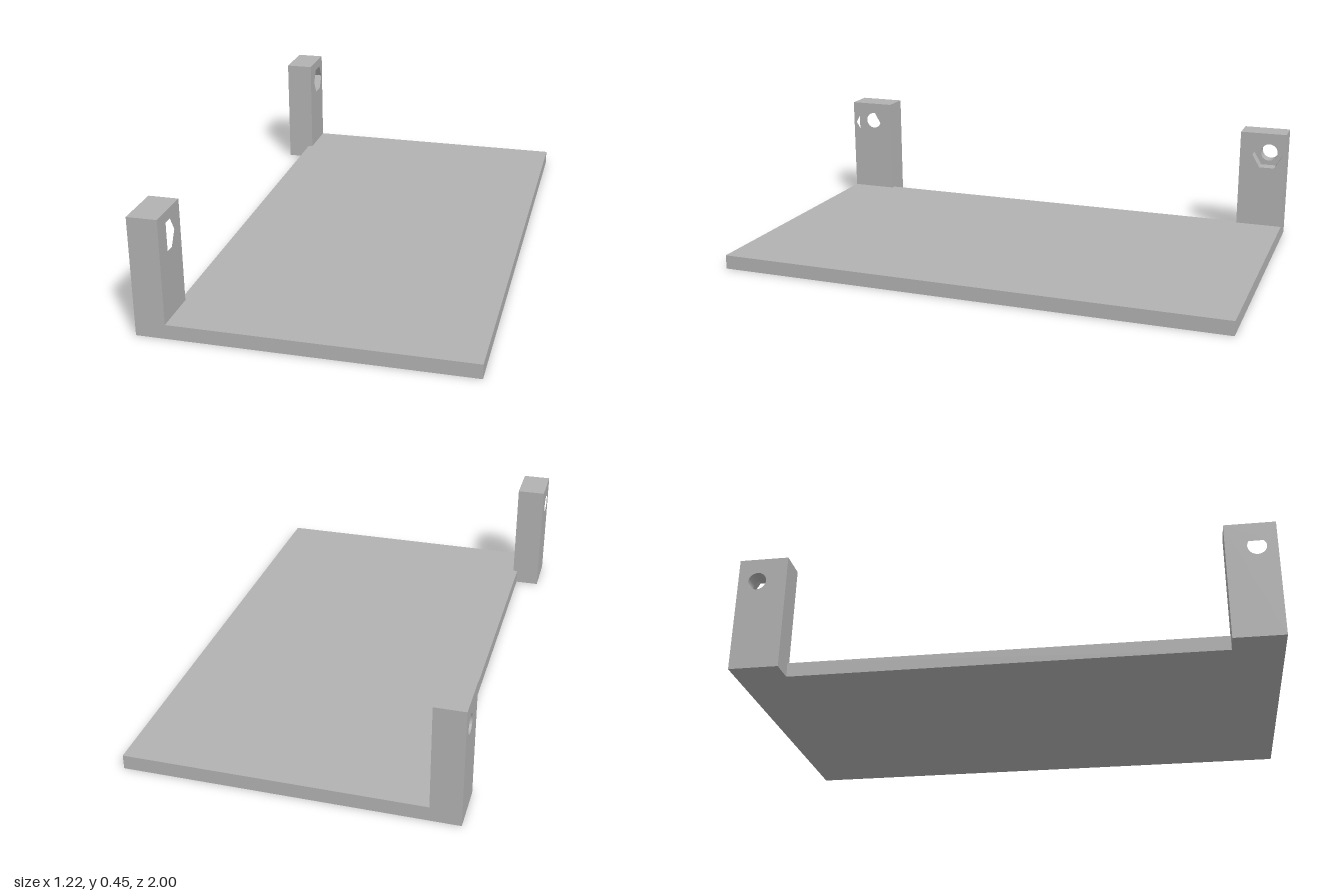
import * as THREE from 'three';

const X = 0.612, POST_X = -0.5, PLATE_X = -0.518; // outer end, post front face, plate rear edge
const POST_Z = 0.812, POST_H = 0.453, PLATE_H = 0.055;
const HOLE_Z = 0.926, HOLE_Y = 0.36, NUT_DEPTH = 0.055;

const polygon = (points) => points.map(([x, y]) => new THREE.Vector2(x, y));

// Upright slab with one hole, running from x0 to x1
function postLayer(side, hole, x0, x1) {
  const a = side * POST_Z, b = side;
  const shape = new THREE.Shape(polygon([[a, 0], [b, 0], [b, POST_H], [a, POST_H]]));
  shape.holes.push(hole);
  const geometry = new THREE.ExtrudeGeometry(shape, { depth: x1 - x0, bevelEnabled: false, curveSegments: 32 });
  return geometry.rotateY(Math.PI / 2).translate(x0, 0, 0);
}

export function createModel() {
  const model = new THREE.Group();
  model.name = 'bracket';
  const grey = new THREE.MeshStandardMaterial({ color: 0xb2b2b2 });
  grey.name = 'grey';

  const add = (parent, name, geometry) => {
    const mesh = new THREE.Mesh(geometry, grey);
    mesh.name = name;
    parent.add(mesh);
  };

  // Base plate, notched around the two posts
  const outline = new THREE.Shape(polygon([
    [X, -1], [X, 1], [POST_X, 1], [POST_X, POST_Z], [PLATE_X, POST_Z],
    [PLATE_X, -POST_Z], [POST_X, -POST_Z], [POST_X, -1],
  ]));
  const plate = new THREE.ExtrudeGeometry(outline, { depth: PLATE_H, bevelEnabled: false });
  add(model, 'basePlate', plate.rotateX(-Math.PI / 2));

  // Corner posts: round bolt hole behind, hexagonal nut pocket in front
  for (const side of [-1, 1]) {
    const post = new THREE.Group();
    post.name = side < 0 ? 'frontPost' : 'backPost';
    const u = side * HOLE_Z;

    const bolt = new THREE.Path().absarc(u, HOLE_Y, 0.035, 0, Math.PI * 2, true);
    const hexagon = Array.from({ length: 6 }, (_, i) => {
      const t = -i * Math.PI / 3;
      return [u + 0.062 * Math.cos(t), HOLE_Y + 0.062 * Math.sin(t)];
    });
    add(post, 'boltHoleLayer', postLayer(side, bolt, -X, POST_X - NUT_DEPTH));
    add(post, 'nutPocketLayer', postLayer(side, new THREE.Path(polygon(hexagon)), POST_X - NUT_DEPTH, POST_X));
    model.add(post);
  }
  return model;
}
